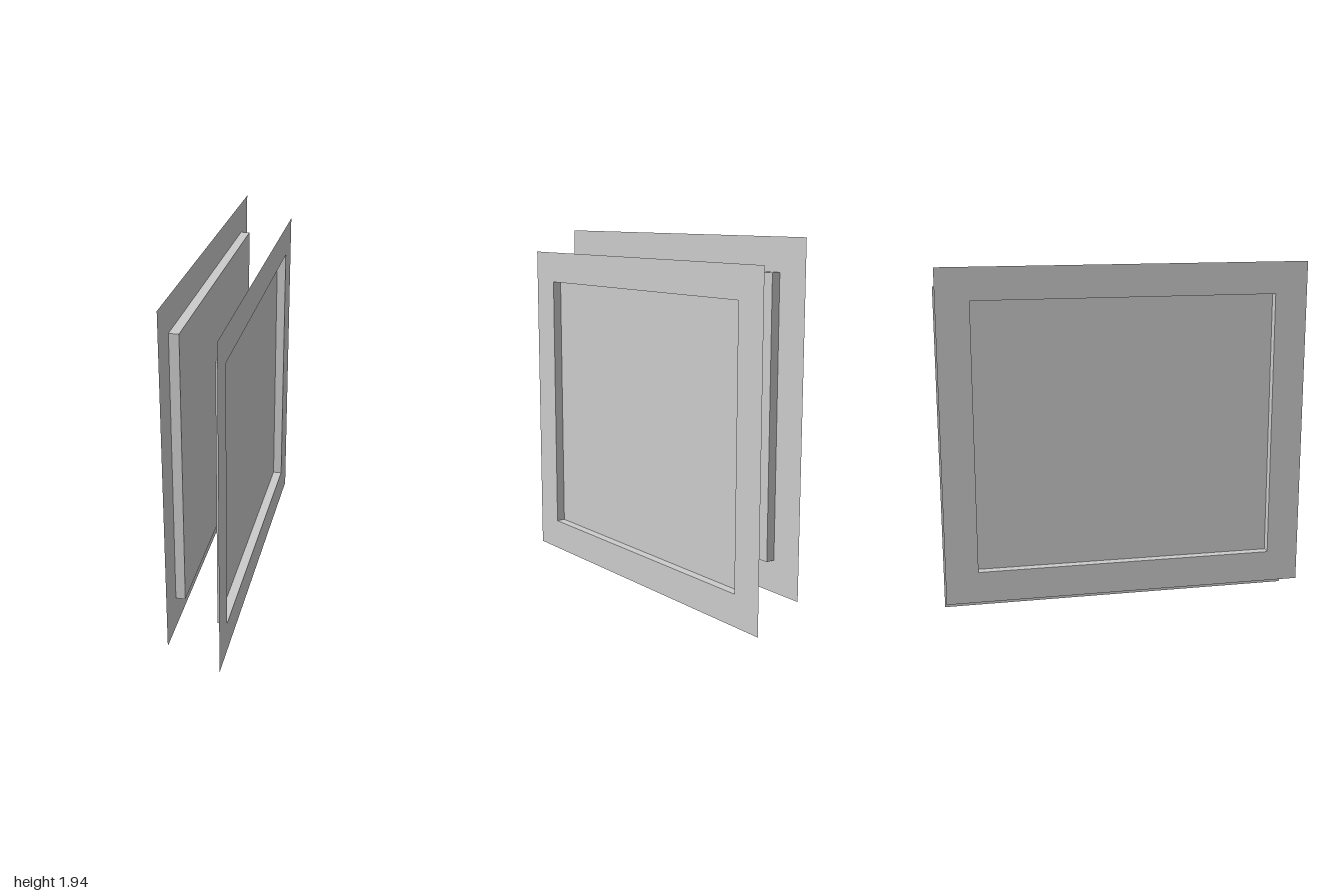
import * as THREE from 'three';

const WIDTH = 2, HEIGHT = 1.82;          // sheet size
const IN_W = 1.645, IN_H = 1.473;        // recess opening
const DEPTH = 0.05;                      // recess depth
const OFFSET = 0.135;                    // sheet distance from the centre plane

function rectangle(Path, w, h) {
  return new Path([
    new THREE.Vector2(-w / 2, -h / 2), new THREE.Vector2(w / 2, -h / 2),
    new THREE.Vector2(w / 2, h / 2), new THREE.Vector2(-w / 2, h / 2),
  ]);
}

// Thin pressed sheet: flat rim at z = 0, tray sunk towards -z
function createPanel(name, material) {
  const panel = new THREE.Group();
  panel.name = name;
  const add = (part, geometry) => {
    const mesh = new THREE.Mesh(geometry, material);
    mesh.name = part;
    panel.add(mesh);
    return mesh;
  };

  // Rim with rectangular opening
  const rim = rectangle(THREE.Shape, WIDTH, HEIGHT);
  rim.holes.push(rectangle(THREE.Path, IN_W, IN_H));
  add('rim', new THREE.ShapeGeometry(rim));

  // Recessed floor
  add('trayFloor', new THREE.PlaneGeometry(IN_W, IN_H)).position.z = -DEPTH;

  // Four recess walls, facing into the tray
  for (const s of [-1, 1]) {
    const level = add(s > 0 ? 'topWall' : 'bottomWall', new THREE.PlaneGeometry(IN_W, DEPTH));
    level.rotation.x = s * Math.PI / 2;
    level.position.set(0, s * IN_H / 2, -DEPTH / 2);

    const upright = add('sideWall', new THREE.PlaneGeometry(DEPTH, IN_H));
    upright.rotation.y = -s * Math.PI / 2;
    upright.position.set(s * IN_W / 2, 0, -DEPTH / 2);
  }
  return panel;
}

export function createModel() {
  const model = new THREE.Group();
  model.name = 'pairedPanels';
  const grey = new THREE.MeshStandardMaterial({ color: 0xcccccc, side: THREE.DoubleSide });
  grey.name = 'lightGrey';

  // Two sheets with their trays sunk towards each other, one set higher
  for (const [name, side, base] of [['leftPanel', 1, 0], ['rightPanel', -1, 0.123]]) {
    const panel = createPanel(name, grey);
    panel.rotation.y = side * Math.PI / 2;
    panel.position.set(side * OFFSET, base + HEIGHT / 2, 0);
    model.add(panel);
  }
  return model;
}
